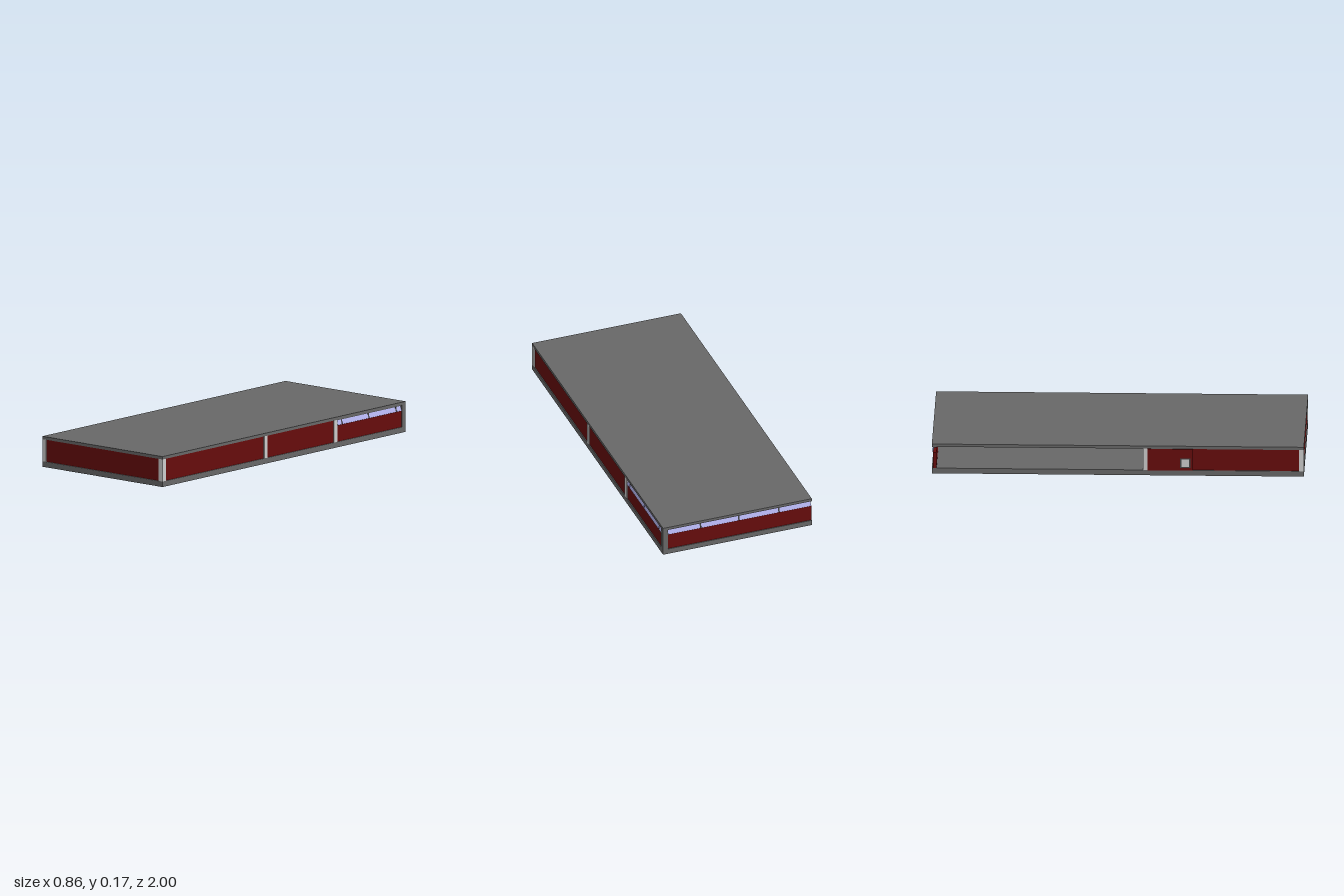
import * as THREE from 'three';

const mat = (color) => new THREE.MeshStandardMaterial({ color });

export function createModel() {
  const model = new THREE.Group();
  const slab = mat(0x686868), red = mat(0x660c0c), post = mat(0xcccccc);
  const glass = mat(0xb4b4ee), frame = mat(0x444444);

  // Box given by its extents on each axis
  function box(name, material, [x0, x1], [y0, y1], [z0, z1], parent = model) {
    const mesh = new THREE.Mesh(new THREE.BoxGeometry(x1 - x0, y1 - y0, z1 - z0), material);
    mesh.position.set((x0 + x1) / 2, (y0 + y1) / 2, (z0 + z1) / 2);
    mesh.name = name;
    parent.add(mesh);
    return mesh;
  }

  const X = 0.427, Y0 = 0.03, Y1 = 0.151, SILL = 0.118;
  const wallY = [Y0, Y1];

  // Floor and flat roof
  box('floorSlab', slab, [-X, X], [0, Y0], [-1, 1]);
  box('roofSlab', slab, [-X, X], [Y1, 0.167], [-1, 1]);

  // Posts at the corners and along the sides
  for (const [x, z0, z1, m] of [
    [X - 0.027, 0.973, 1, post], [-X, 0.973, 1, post],
    [X - 0.027, 0.135, 0.162, post], [X - 0.027, -0.44, -0.412, post],
    [-X, 0.135, 0.16, post], [X - 0.027, -1, -0.97, slab],
  ]) box('post', m, [x, x + 0.027], wallY, [z0, z1]);

  // Solid wall panels
  box('frontWall', red, [-0.4, 0.4], wallY, [0.975, 0.995]);
  box('rightFrontWall', red, [0.402, 0.422], wallY, [0.162, 0.973]);
  box('rightMiddleWall', red, [0.402, 0.422], wallY, [-0.412, 0.135]);
  box('leftFrontWall', red, [-0.422, -0.402], wallY, [0.16, 0.973]);
  box('partitionWall', red, [-0.402, 0.402], wallY, [0.138, 0.156]);

  // Half-height walls below the window bands
  box('rightRearWall', red, [0.402, 0.422], [Y0, SILL], [-0.97, -0.44]);
  box('backWall', red, [-X, 0.4], [Y0, SILL], [-0.995, -0.975]);

  // Window band along local x, facing local +z; panes hang open from the top
  function windowBand(name, edges) {
    const band = new THREE.Group();
    band.name = name;
    const first = edges[0], last = edges[edges.length - 1];
    box('headRail', frame, [first, last], [Y1 - 0.004, Y1], [-0.02, 0], band);
    for (let i = 0; i < edges.length - 1; i++) {
      const a = edges[i] + 0.004, b = edges[i + 1] - 0.004;
      const pane = box('windowPane', glass, [a, b], [SILL + 0.001, Y1 - 0.003], [-0.004, -0.001], band);
      pane.rotation.x = -0.3;
    }
    for (const e of edges.slice(1, -1))
      box('mullion', frame, [e - 0.004, e + 0.004], [SILL, Y1], [-0.02, -0.002], band);
    model.add(band);
    return band;
  }

  const side = windowBand('rightWindows', [0.44, 0.48, 0.70, 0.925, 0.97]);
  side.rotation.y = Math.PI / 2;
  side.position.x = 0.423;
  const back = windowBand('backWindows', [-0.4, -0.21, 0.01, 0.24, X]);
  back.rotation.y = Math.PI;
  back.position.z = -0.994;

  // Sliding door leaf on the left side with its small plate
  box('slidingDoor', red, [-0.432, -0.422], wallY, [0.16, 0.405]);
  box('doorPlateFrame', frame, [-0.433, -0.428], [0.045, 0.1], [0.335, 0.39]);
  box('doorPlate', post, [-0.434, -0.43], [0.052, 0.093], [0.342, 0.383]);

  return model;
}
